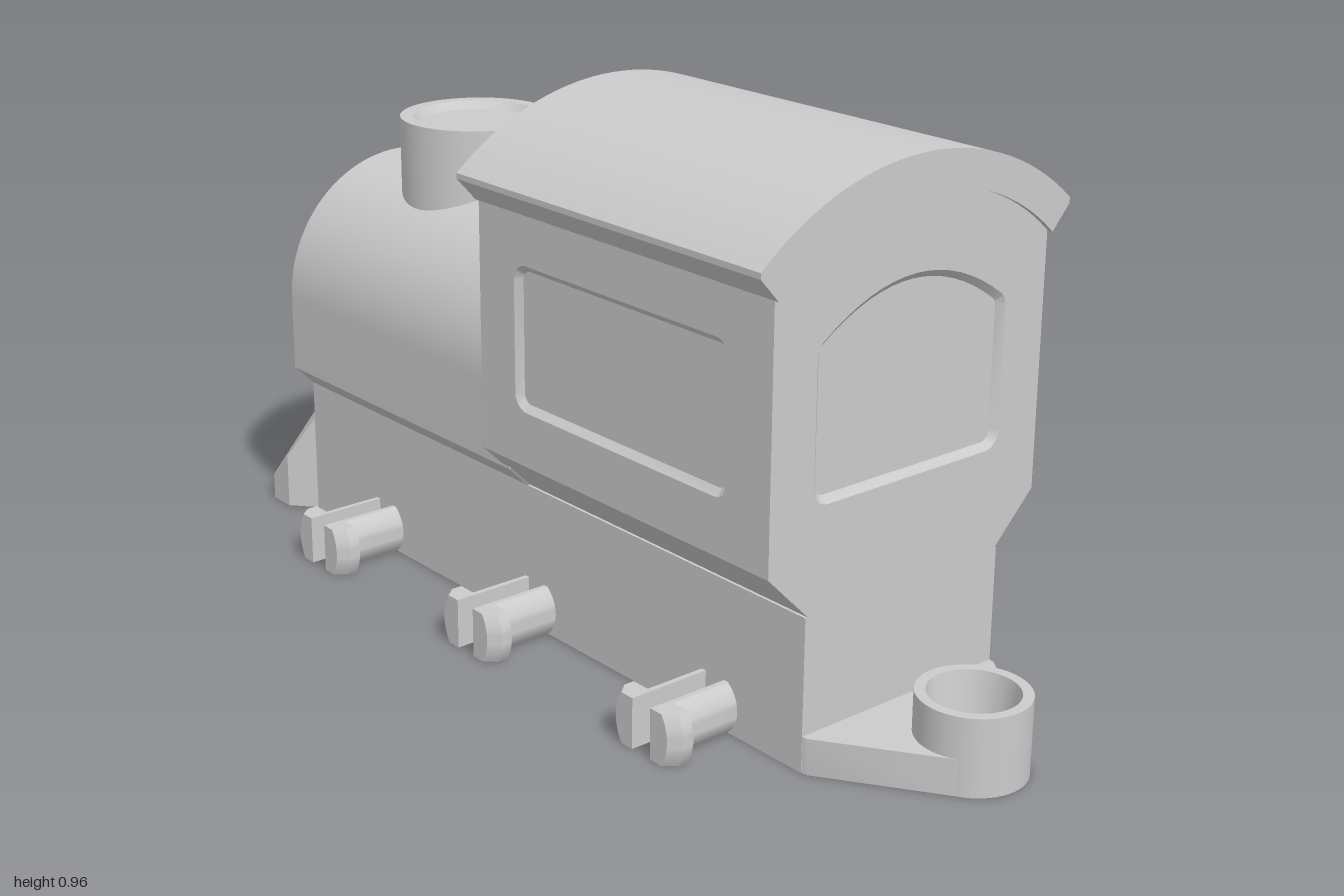
import * as THREE from 'three';
import { toCreasedNormals } from 'three/addons/utils/BufferGeometryUtils.js';

const material = new THREE.MeshStandardMaterial({ color: 0xcccccc, side: THREE.DoubleSide });

function part(name, geometry) {
  const mesh = new THREE.Mesh(toCreasedNormals(geometry, 0.5), material);
  mesh.name = name;
  return mesh;
}

const shapeOf = (points) => new THREE.Shape(points.map(([x, y]) => new THREE.Vector2(x, y)));
const extrude = (shape, depth, options = {}) =>
  new THREE.ExtrudeGeometry(shape, { depth, bevelEnabled: false, curveSegments: 40, ...options });
// Cross-section (z, y) swept along x
const alongX = (shape, x0, x1, options) =>
  extrude(shape, x1 - x0, options).rotateY(Math.PI / 2).translate(x0, 0, 0);
// Plan (x, z) raised from the ground
const upward = (shape, height) => extrude(shape, height).rotateX(-Math.PI / 2);

// Points of an arch from +w to -w on a circle of radius r centred at height cy
function arch(w, r, cy, n = 32) {
  return Array.from({ length: n + 1 }, (_, i) => {
    const z = w - (2 * w * i) / n;
    return [z, cy + Math.sqrt(r * r - z * z)];
  });
}

// Window outline with rounded corners and an optionally arched top
function windowOutline({ w, y0, yEdge, yTop, r, turn }, inset) {
  const c = r - inset, right = [], n = 6;
  for (let i = 0; i <= n; i++) {
    const a = -Math.PI / 2 + (i / n) * Math.PI / 2;
    right.push([w - r + c * Math.cos(a), y0 + r + c * Math.sin(a)]);
  }
  for (let i = 0; i <= n; i++) {
    const a = (i / n) * turn;
    right.push([w - r + c * Math.cos(a), yEdge - r + c * Math.sin(a)]);
  }
  const [ex, ey] = right[right.length - 1];
  const top = [];
  for (let i = 1; i < 16; i++) {
    const t = 1 - i / 8;
    top.push([ex * t, yTop - inset - (yTop - inset - ey) * t * t]);
  }
  return [...right, ...top, ...right.map(([x, y]) => [-x, y]).reverse()];
}

// Wall panel with a sunken window and a sloping rim; its face lies on z = 0
function windowWall(name, wallPoints, spec, depth = 0.012) {
  const group = new THREE.Group();
  group.name = name;
  const outer = windowOutline(spec, 0), inner = windowOutline(spec, 0.012);
  const wall = shapeOf(wallPoints);
  wall.holes.push(shapeOf(outer));
  group.add(part('wallPanel', extrude(wall, depth).translate(0, 0, -depth)));

  const positions = [], index = [], n = outer.length;
  for (let i = 0; i < n; i++) {
    positions.push(...outer[i], 0, ...inner[i], -depth + 0.001);
    const a = 2 * i, b = 2 * ((i + 1) % n);
    index.push(a, b, a + 1, b, b + 1, a + 1);
  }
  const rim = new THREE.BufferGeometry();
  rim.setAttribute('position', new THREE.Float32BufferAttribute(positions, 3));
  rim.setIndex(index);
  group.add(part('windowRim', rim));
  group.add(part('windowPane', new THREE.ShapeGeometry(shapeOf(inner)).translate(0, 0, -depth + 0.001)));
  return group;
}

// One half of a split pin: a slice of a disc, flat at top, bottom and slot
function prongSlice(r, z0, z1, taper) {
  const points = [[0.022, -0.045]];
  for (let i = 0; i <= 10; i++) {
    const y = -0.045 + 0.009 * i;
    points.push([Math.sqrt(r * r - y * y), y]);
  }
  points.push([0.022, 0.045]);
  const geometry = extrude(shapeOf(points), z1 - z0).translate(0, 0, z0);
  const p = geometry.attributes.position;
  for (let i = 0; i < p.count; i++) {
    if (p.getZ(i) > z1 - 1e-4 && p.getX(i) > 0.023) p.setX(i, p.getX(i) - taper);
  }
  return geometry;
}

function axlePin() {
  const pin = new THREE.Group();
  pin.name = 'axlePin';
  for (const turn of [0, Math.PI]) {
    const prong = new THREE.Group();
    prong.name = 'prong';
    prong.add(
      part('prongStem', prongSlice(0.055, 0.2, 0.34, 0)),
      part('prongHead', prongSlice(0.08, 0.33, 0.35, 0)),
      part('prongTip', prongSlice(0.08, 0.35, 0.37, 0.017)),
    );
    prong.rotation.z = turn;
    pin.add(prong);
  }
  return pin;
}

export function createModel() {
  const model = new THREE.Group();
  model.name = 'toyLocomotive';

  // Boiler and front chassis in one section, chamfered at the nose
  const boiler = [[0.215, 0], [0.215, 0.265], [0.255, 0.305]];
  for (let i = 0; i <= 48; i++) {
    const a = (i / 48) * Math.PI;
    boiler.push([0.255 * Math.cos(a), 0.45 + 0.255 * Math.sin(a)]);
  }
  boiler.push([-0.255, 0.305], [-0.215, 0.265], [-0.215, 0]);
  model.add(part('boiler', alongX(shapeOf(boiler), -0.645, 0.05, {
    bevelEnabled: true, bevelThickness: 0.045, bevelSize: 0.045, bevelOffset: -0.045, bevelSegments: 1,
  })));

  // Rear chassis with a pyramid-shaped socket underneath
  const chassis = shapeOf([[0.05, -0.215], [0.75, -0.215], [0.75, 0.215], [0.05, 0.215]]);
  chassis.holes.push(shapeOf([[0.2, -0.08], [0.2, 0.08], [0.36, 0.08], [0.36, -0.08]]));
  model.add(part('chassis', upward(chassis, 0.265)));
  const socket = new THREE.ConeGeometry(0.08 * Math.SQRT2, 0.08, 4, 1, true);
  model.add(part('chassisSocket', socket.rotateY(Math.PI / 4).translate(0.28, 0.04, 0)));

  // Pilot wedge: two halves whose tops slope away from a rising ridge
  for (const s of [1, -1]) {
    const plan = [[-1, 0], [-0.745, 0.255], [-0.69, 0.255], [-0.645, 0.215], [-0.645, 0]];
    const wedge = upward(shapeOf(plan.map(([x, z]) => [x, z * s])), 1);
    const p = wedge.attributes.position;
    for (let i = 0; i < p.count; i++) {
      if (p.getY(i) > 0.5) p.setY(i, 1.05 + p.getX(i) - Math.abs(p.getZ(i)));
    }
    model.add(part('pilotHalf', wedge));
  }

  // Chimney with a shallow dished top
  const chimney = [[0.142, 0.55], [0.142, 0.82], [0.117, 0.82], [0.105, 0.806], [0, 0.806]];
  model.add(part('chimney', new THREE.LatheGeometry(
    chimney.map(([r, y]) => new THREE.Vector2(r, y)), 64).translate(-0.38, 0, 0)));

  // Cab core, wrapped by window walls
  const section = (w) => [
    [-0.207, 0.262], [0.207, 0.262], [0.295, 0.35], [w, 0.3501], ...arch(w, 0.436, 0.469), [-w, 0.3501], [-0.295, 0.35],
  ];
  model.add(part('cabCore', alongX(shapeOf(section(0.283)), 0.03, 0.738)));
  const back = windowWall('cabBackWall', section(0.295),
    { w: 0.205, y0: 0.443, yEdge: 0.712, yTop: 0.775, r: 0.03, turn: 0.85 });
  back.rotation.y = Math.PI / 2;
  back.position.x = 0.75;
  model.add(back);
  for (const turn of [0, Math.PI]) {
    const side = new THREE.Group();
    side.name = 'cabSide';
    const wall = windowWall('cabSideWall', [[-0.36, 0.35], [0.36, 0.35], [0.36, 0.8], [-0.36, 0.8]],
      { w: 0.265, y0: 0.447, yEdge: 0.703, yTop: 0.703, r: 0.03, turn: Math.PI / 2 });
    wall.position.z = 0.295;
    side.add(wall);
    side.position.x = 0.39;
    side.rotation.y = turn;
    model.add(side);
  }

  // Curved roof with overhanging eaves
  const roof = [[0.333, 0.83], ...arch(0.333, 0.506, 0.459), [-0.333, 0.83],
    ...arch(0.296, 0.436, 0.469).reverse()];
  model.add(part('roof', alongX(shapeOf(roof), 0.022, 0.76)));

  // Rear coupling: tapered plate and hollow ring
  const plate = shapeOf([[0.745, -0.215], [0.76, -0.213], [0.957, -0.078], [0.957, 0.078], [0.76, 0.213], [0.745, 0.215]]);
  const hole = new THREE.Path();
  hole.absarc(0.907, 0, 0.08, 0, Math.PI * 2, true);
  plate.holes.push(hole);
  model.add(part('couplingPlate', upward(plate, 0.063)));
  const ring = [[0.052, 0], [0.093, 0], [0.093, 0.135], [0.075, 0.135], [0.052, 0]];
  model.add(part('couplingRing', new THREE.LatheGeometry(
    ring.map(([r, y]) => new THREE.Vector2(r, y)), 48).translate(0.907, 0, 0)));

  // Split axle pins, three on each side
  for (const x of [-0.398, 0.073, 0.546]) {
    for (const turn of [0, Math.PI]) {
      const pin = axlePin();
      pin.position.set(x, 0.045, 0);
      pin.rotation.y = turn;
      model.add(pin);
    }
  }
  return model;
}
